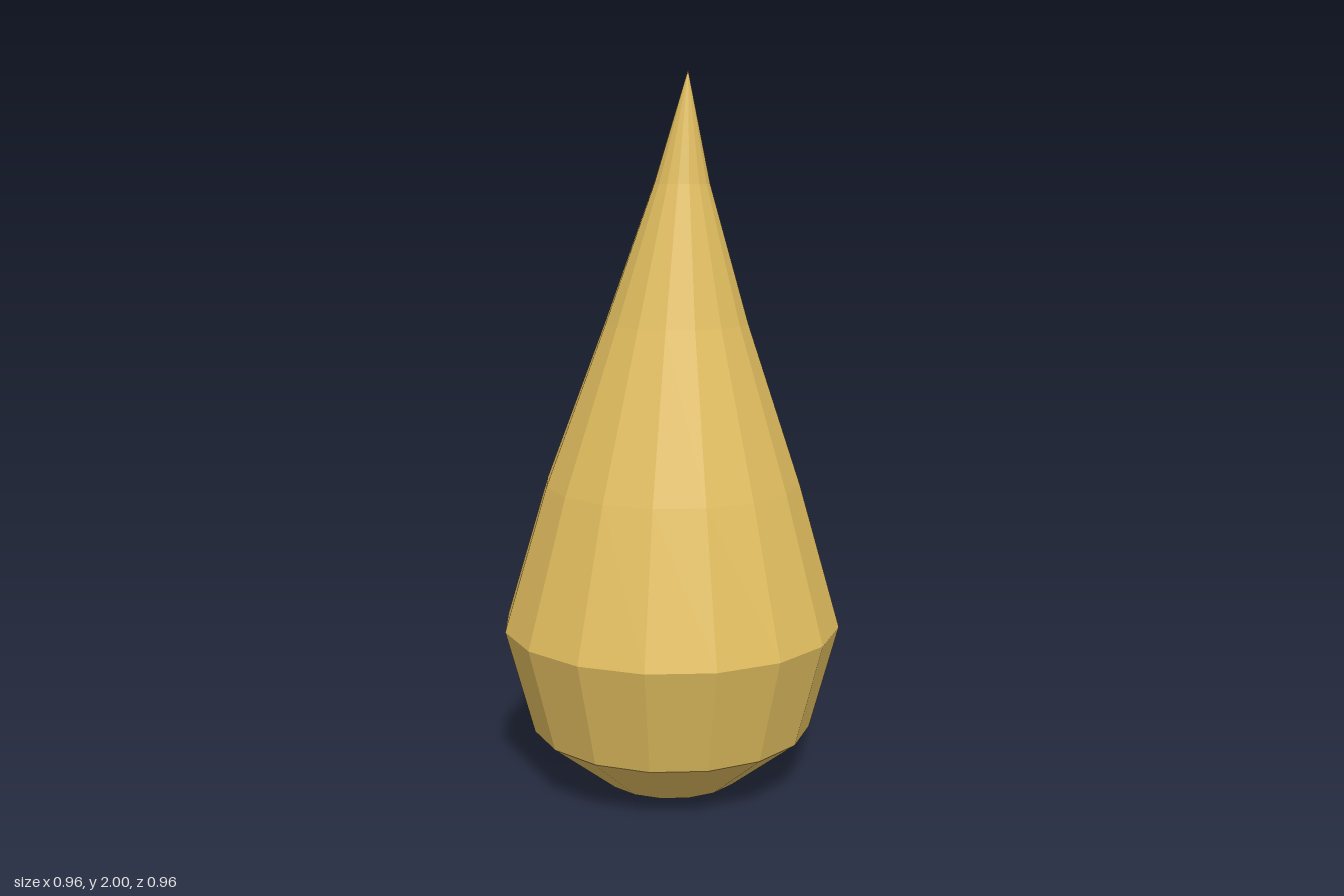
import * as THREE from 'three';

export function createModel() {
  const group = new THREE.Group();

  // Profile from the closed base up to the tip: radius, height
  const profile = [
    [0, 0], [0.2, 0], [0.4, 0.16], [0.48, 0.46],
    [0.36, 0.87], [0.2, 1.32], [0.077, 1.7], [0, 2],
  ].map(([r, y]) => new THREE.Vector2(r, y));
  const lathe = new THREE.LatheGeometry(profile, 16);

  // Bend the upper body gently sideways toward the tip
  const pos = lathe.attributes.position;
  for (let i = 0; i < pos.count; i++) {
    const t = Math.max(0, (pos.getY(i) - 0.46) / 1.54);
    pos.setX(i, pos.getX(i) + 0.075 * t * t);
  }

  // Flat facets
  const geometry = lathe.toNonIndexed();
  geometry.computeVertexNormals();
  const material = new THREE.MeshStandardMaterial({ color: 0xe3bf60, flatShading: true });
  const body = new THREE.Mesh(geometry, material);
  body.name = 'curvedSpike';
  group.add(body);
  return group;
}
